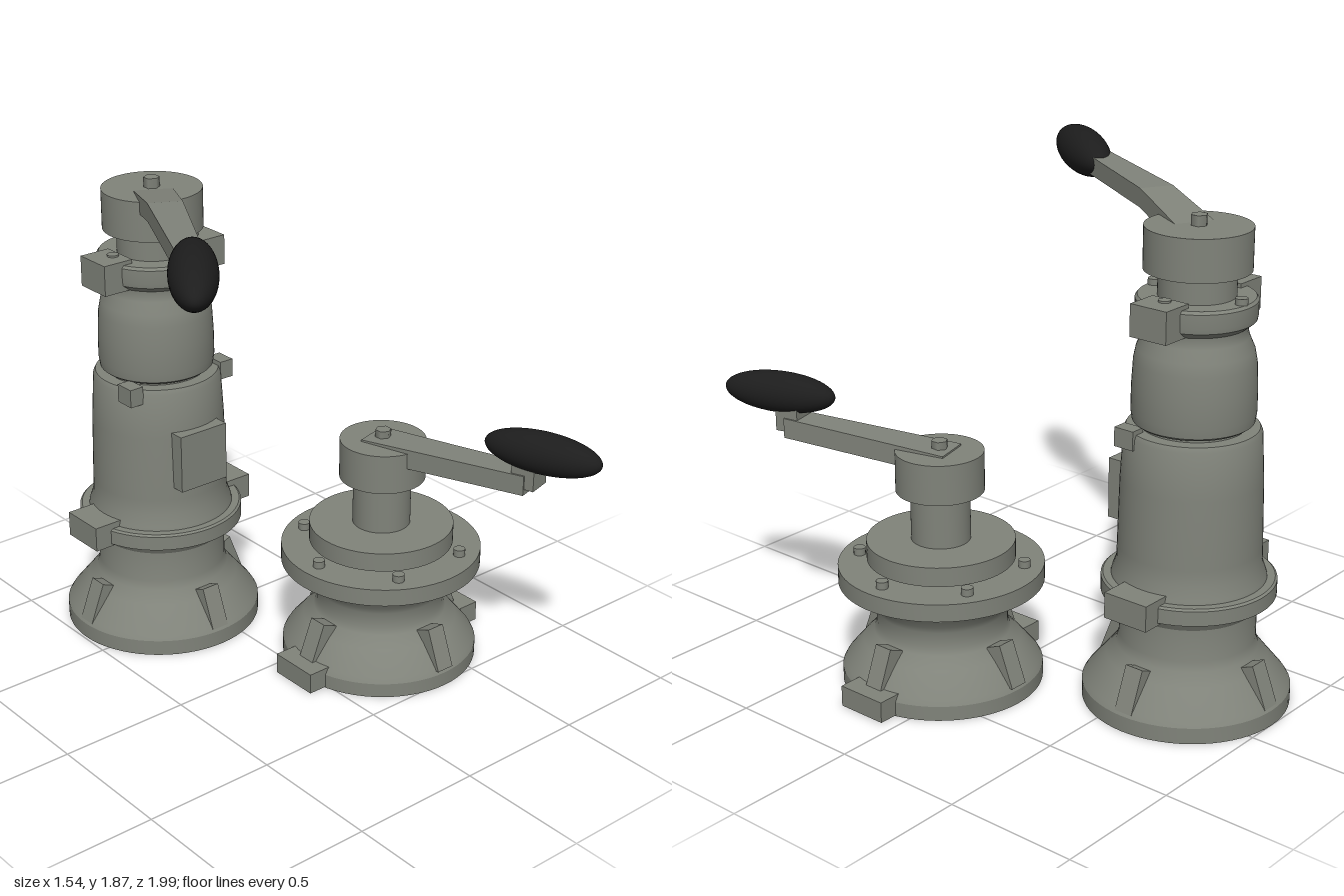
import * as THREE from 'three';
import { toCreasedNormals } from 'three/addons/utils/BufferGeometryUtils.js';

const grey = new THREE.MeshStandardMaterial({ color: 0x80837a });
grey.name = 'painted grey';
const black = new THREE.MeshStandardMaterial({ color: 0x1d1d1d });
black.name = 'black grip';

function add(parent, name, geometry, x = 0, y = 0, z = 0, material = grey) {
  const mesh = new THREE.Mesh(geometry, material);
  mesh.name = name;
  mesh.position.set(x, y, z);
  parent.add(mesh);
  return mesh;
}

// Closed turned part from [radius, height] pairs, bottom to top
function turned(parent, name, profile) {
  const first = profile[0], last = profile[profile.length - 1];
  const pts = [[0, first[1]], ...profile, [0, last[1]]].map(([r, y]) => new THREE.Vector2(r, y));
  return add(parent, name, toCreasedNormals(new THREE.LatheGeometry(pts, 64), 0.45));
}

const disc = (parent, name, r, y0, y1) => turned(parent, name, [[r, y0], [r, y1]]);

// Box given by its limits
function block(parent, name, x0, x1, y0, y1, z0, z1) {
  return add(parent, name, new THREE.BoxGeometry(x1 - x0, y1 - y0, z1 - z0),
    (x0 + x1) / 2, (y0 + y1) / 2, (z0 + z1) / 2);
}

// Ring of small bolt heads
function bolts(parent, count, radius, y0, y1) {
  for (let i = 0; i < count; i++) {
    const a = (i / count) * Math.PI * 2;
    add(parent, 'bolt', new THREE.CylinderGeometry(0.022, 0.022, y1 - y0, 16),
      Math.cos(a) * radius, (y0 + y1) / 2, Math.sin(a) * radius);
  }
}

// Four leaning ribs around the foot
function ribs(parent) {
  const shape = new THREE.Shape([[0.2, 0.05], [0.37, 0.07], [0.31, 0.223], [0.25, 0.198]]
    .map(([x, y]) => new THREE.Vector2(x, y)));
  const geometry = new THREE.ExtrudeGeometry(shape, { depth: 0.072, bevelEnabled: false });
  geometry.translate(0, 0, -0.036);
  for (let i = 0; i < 4; i++) add(parent, 'footRib', geometry).rotation.y = i * Math.PI / 2;
}

// Tapered crank arm along +z; stations are [distance, centre height, width]
function crankArm(parent, stations, thickness) {
  const n = stations.length - 1;
  const box = new THREE.BoxGeometry(1, 1, 1, 1, 1, n);
  const p = box.attributes.position;
  for (let i = 0; i < p.count; i++) {
    const [d, y, w] = stations[Math.round((p.getZ(i) + 0.5) * n)];
    p.setXYZ(i, p.getX(i) * w, y + p.getY(i) * thickness, d);
  }
  const geometry = box.toNonIndexed();
  geometry.computeVertexNormals();
  return add(parent, 'crankArm', geometry);
}

function grip(parent, x, y, z, length, radius, angle) {
  const mesh = add(parent, 'grip', new THREE.SphereGeometry(1, 40, 28), x, y, z, black);
  mesh.scale.set(radius, radius, length);
  mesh.rotation.y = angle;
}

function hexNut(parent, y0, y1) {
  add(parent, 'hexNut', new THREE.CylinderGeometry(0.03, 0.03, y1 - y0, 6), 0, (y0 + y1) / 2, 0);
}

function tallWinch() {
  const g = new THREE.Group();
  g.name = 'tallWinch';
  // Foot and lower collar
  turned(g, 'foot', [[0.376, 0], [0.376, 0.06], [0.365, 0.078], [0.29, 0.17], [0.255, 0.215],
    [0.245, 0.25], [0.245, 0.37], [0.27, 0.415]]);
  ribs(g);
  turned(g, 'lowerCollar', [[0.27, 0.41], [0.313, 0.42], [0.313, 0.475], [0.305, 0.482]]);
  for (const s of [-1, 1]) {
    block(g, 'collarLug', s < 0 ? -0.368 : 0.24, s < 0 ? -0.24 : 0.368, 0.41, 0.506, -0.09, 0.09);
    block(g, 'rimClip', s < 0 ? -0.237 : 0.18, s < 0 ? -0.18 : 0.237, 0.99, 1.06, 0.08, 0.16);
    block(g, 'topLug', s < 0 ? -0.272 : 0.15, s < 0 ? -0.15 : 0.272, 1.41, 1.525, -0.075, 0.075);
  }
  // Main barrel with front plate
  turned(g, 'mainBarrel', [[0.278, 0.475], [0.274, 0.495], [0.258, 0.54], [0.257, 0.6],
    [0.251, 0.85], [0.241, 1.025], [0.232, 1.043]]);
  block(g, 'frontPlate', -0.105, 0.105, 0.65, 0.875, 0.2, 0.285);
  // Upper drum
  disc(g, 'neck', 0.185, 1.03, 1.07);
  turned(g, 'upperDrum', [[0.2, 1.055], [0.213, 1.065], [0.218, 1.1], [0.217, 1.19], [0.212, 1.28],
    [0.203, 1.325], [0.183, 1.37], [0.178, 1.39], [0.18, 1.41], [0.207, 1.432], [0.21, 1.45], [0.21, 1.5],
    [0.202, 1.51]]);
  bolts(g, 4, 0.182, 1.505, 1.532);
  // Head and crank
  disc(g, 'headNeck', 0.135, 1.5, 1.61);
  disc(g, 'head', 0.186, 1.6, 1.75);
  hexNut(g, 1.745, 1.787);
  crankArm(g, [[0, 1.71, 0.148], [0.34, 1.767, 0.125], [0.85, 1.778, 0.095]], 0.068)
    .rotation.y = Math.atan2(-0.47, 0.88);
  grip(g, -0.49, 1.785, 0.895, 0.264, 0.083, Math.atan2(-0.593, 0.805));
  g.position.set(-0.115, 0, -0.625);
  return g;
}

function shortWinch() {
  const g = new THREE.Group();
  g.name = 'shortWinch';
  // Foot and flange
  turned(g, 'foot', [[0.368, 0], [0.368, 0.055], [0.357, 0.075], [0.29, 0.155], [0.25, 0.195], [0.24, 0.22],
    [0.24, 0.28], [0.25, 0.305], [0.274, 0.34], [0.274, 0.395]]);
  ribs(g);
  for (const s of [-1, 1]) {
    block(g, 'footLug', s < 0 ? -0.427 : 0.3, s < 0 ? -0.3 : 0.427, 0.003, 0.082, -0.098, 0.098);
  }
  disc(g, 'flange', 0.375, 0.39, 0.456);
  bolts(g, 6, 0.306, 0.45, 0.483);
  disc(g, 'spindle', 0.1, 0.45, 0.48);
  disc(g, 'upperDisc', 0.27, 0.475, 0.547);
  // Column, head and crank
  disc(g, 'column', 0.108, 0.54, 0.74);
  disc(g, 'head', 0.16, 0.735, 0.885);
  hexNut(g, 0.88, 0.922);
  crankArm(g, [[-0.05, 0.854, 0.142], [0.615, 0.885, 0.105]], 0.075).rotation.y = Math.atan2(0.26, 0.965);
  block(g, 'gripPost', -0.047, 0.047, 0.87, 0.98, -0.045, 0.045);
  const post = g.children[g.children.length - 1];
  post.position.set(0.158, 0.925, 0.585);
  post.rotation.y = Math.atan2(0.26, 0.965);
  grip(g, 0.173, 1.005, 0.633, 0.221, 0.076, Math.atan2(0.34, 0.94));
  g.position.set(0.34, 0, 0.15);
  return g;
}

export function createModel() {
  const model = new THREE.Group();
  model.name = 'winchPair';
  model.add(tallWinch(), shortWinch());
  return model;
}
